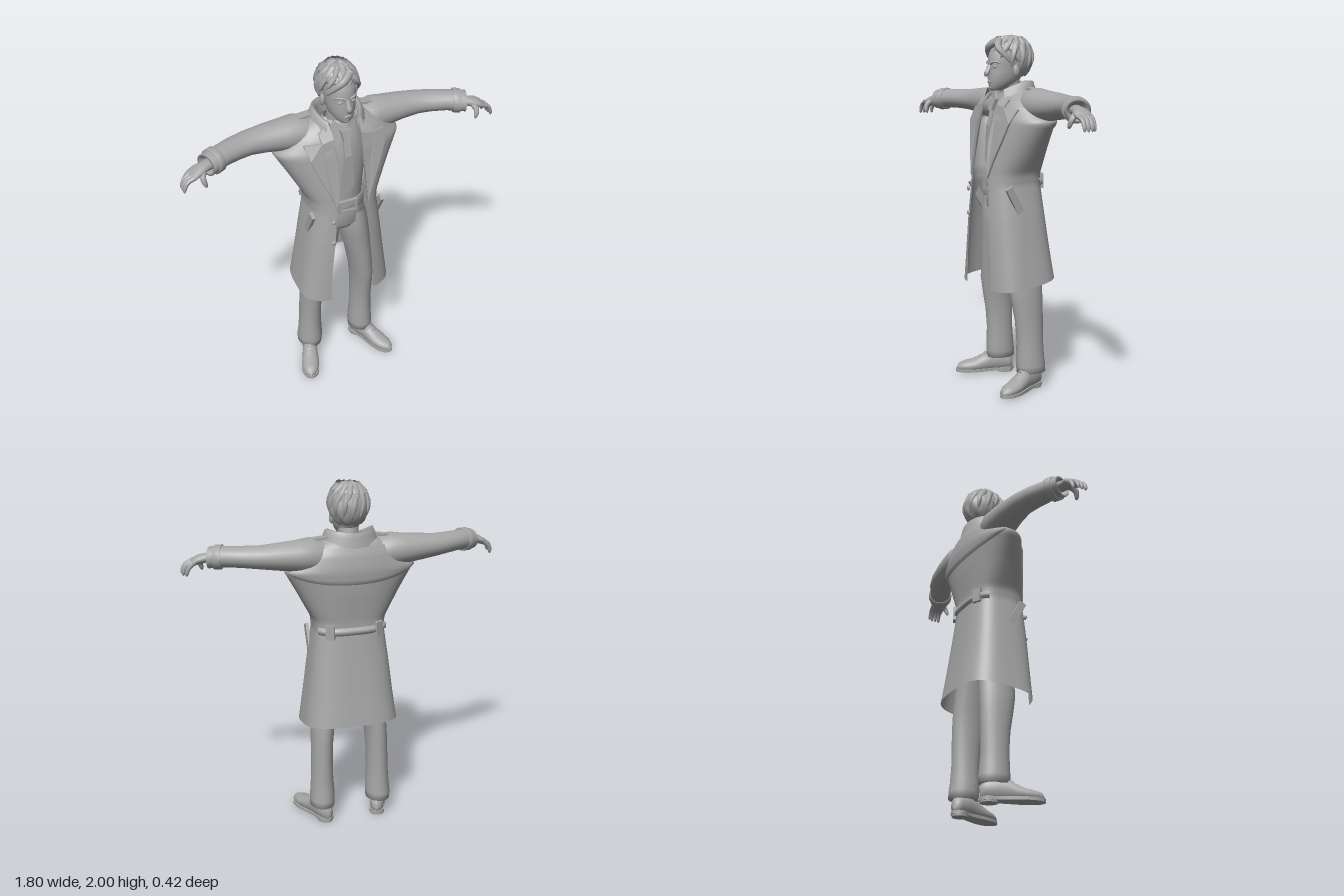
import * as THREE from 'three';

const V = (x, y, z) => new THREE.Vector3(x, y, z);
const clothGrey = new THREE.MeshStandardMaterial({ color: 0xa6a6a6, side: THREE.DoubleSide });

// Surface from a rule fn(u, v) -> [x, y, z], optionally closed around u
function grid(fn, nu, nv, closed = false) {
  const pos = [], idx = [], cols = closed ? nu : nu + 1;
  for (let j = 0; j <= nv; j++) for (let i = 0; i < cols; i++) pos.push(...fn(i / nu, j / nv));
  for (let j = 0; j < nv; j++) for (let i = 0; i < nu; i++) {
    const a = j * cols + i, b = j * cols + (i + 1) % cols;
    idx.push(a, a + cols, b, b, a + cols, b + cols);
  }
  const g = new THREE.BufferGeometry();
  g.setAttribute('position', new THREE.Float32BufferAttribute(pos, 3));
  g.setIndex(idx);
  g.computeVertexNormals();
  return g;
}

// Elliptical rings along an axis; rows are [x, y, z, radiusA, radiusB, slant]
function loft(axis, rows) {
  return grid((u, v) => {
    const [x, y, z, a, b, k = 0] = rows[Math.round(v * (rows.length - 1))];
    const c = Math.cos(u * Math.PI * 2), s = Math.sin(u * Math.PI * 2);
    if (axis === 'y') return [x + a * c, y, z + b * s];
    if (axis === 'x') return [x - k * b * c, y + a * s, z + b * c];
    return [x + a * c, y + b * s, z];
  }, 24, rows.length - 1, true);
}

// Rounded tapering tube through points
function taper(points, r0, r1, n = 10) {
  const curve = new THREE.CatmullRomCurve3(points.map(p => V(...p)));
  const g = new THREE.TubeGeometry(curve, n, 1, 8), p = g.attributes.position, q = V();
  for (let i = 0; i < p.count; i++) {
    const t = Math.floor(i / 9) / n, c = curve.getPointAt(t);
    const r = (r0 + (r1 - r0) * t) * Math.sqrt(Math.max(0, 1 - t ** 8));
    q.fromBufferAttribute(p, i).sub(c).multiplyScalar(r).add(c);
    p.setXYZ(i, q.x, q.y, q.z);
  }
  g.computeVertexNormals();
  return g;
}

// Flat plate from an outline, laid on a front surface z = zFn(x, y)
function plate(outline, depth, zFn) {
  const shape = new THREE.Shape(outline.map(p => new THREE.Vector2(...p)));
  const g = new THREE.ExtrudeGeometry(shape, { depth, bevelEnabled: false }), p = g.attributes.position;
  for (let i = 0; i < p.count; i++) p.setZ(i, p.getZ(i) + zFn(p.getX(i), p.getY(i)));
  g.computeVertexNormals();
  return g;
}

function ball(x, y, z, rx, ry, rz) {
  return new THREE.SphereGeometry(1, 16, 12).scale(rx, ry, rz).translate(x, y, z);
}

// Coat rows: y, front edge x, half width, front z, middle z, back z, roundness
const COAT = [
  [0.617, 0.135, 0.275, 0.2, 0.02, -0.215, 0.62], [0.8, 0.125, 0.25, 0.2, 0.01, -0.19, 0.65],
  [1.0, 0.105, 0.225, 0.198, 0, -0.165, 0.68], [1.18, 0.09, 0.2, 0.187, 0, -0.145, 0.7],
  [1.24, 0.09, 0.207, 0.182, 0, -0.145, 0.72], [1.4, 0.09, 0.295, 0.165, -0.02, -0.165, 0.9],
  [1.53, 0.09, 0.37, 0.145, -0.04, -0.175, 1], [1.56, 0.09, 0.33, 0.138, -0.04, -0.172, 0.95],
  [1.62, 0.09, 0.265, 0.11, -0.04, -0.16, 0.85], [1.67, 0.09, 0.2, 0.07, -0.04, -0.14, 0.8],
  [1.705, 0.08, 0.12, 0.04, -0.04, -0.11, 0.8],
];
function coatRow(y) {
  let i = 0;
  while (i < COAT.length - 2 && y > COAT[i + 1][0]) i++;
  const t = THREE.MathUtils.clamp((y - COAT[i][0]) / (COAT[i + 1][0] - COAT[i][0]), 0, 1);
  return COAT[i].map((v, k) => v + (COAT[i + 1][k] - v) * t);
}
// s runs from one front edge (-1) round the back (0) to the other (1)
function coatAt(s, y, off = 0) {
  const [, xi, w, zf, zm, zb, p] = coatRow(y);
  const a = -Math.PI / 2 + Math.abs(s) * (Math.PI / 2 + Math.acos((xi / w) ** (1 / p)));
  const c = Math.max(0, Math.cos(a)), n = Math.sin(a);
  const z = zm + (n > 0 ? zf - zm + off : -(zm - zb + off)) * Math.abs(n) ** p;
  const tilt = THREE.MathUtils.clamp((1.2 - y) / 0.58, 0, 1) * -0.13 * z;
  return [Math.sign(s) * (w + off) * c ** p, y + tilt, z];
}
function coatFront(x, y) {
  const [, , w, zf, zm, , p] = coatRow(y);
  return zm + (zf - zm) * Math.max(0, 1 - Math.min(1, Math.abs(x) / w) ** (2 / p)) ** (p / 2);
}

export function createModel() {
  const model = new THREE.Group();
  const add = (name, g) => {
    const m = new THREE.Mesh(g, clothGrey);
    m.name = name;
    model.add(m);
  };
  const pair = (name, g) => {
    add(name + 'Left', g);
    const r = g.clone().scale(-1, 1, 1);
    r.computeVertexNormals();
    add(name + 'Right', r);
  };

  // Long open coat with back yoke, half belt and pockets
  add('coat', grid((u, v) => coatAt(u * 2 - 1, 0.617 + v * 1.088), 72, 64));
  add('backYoke', grid((u, v) => {
    const s = u * 2 - 1, low = 1.46 + 0.08 * s * s;
    return coatAt(s * 0.52, low + (1.66 - low) * v, v === 0 ? 0 : 0.008);
  }, 32, 14));
  add('halfBelt', grid((u, v) => coatAt((u * 2 - 1) * 0.4, 1.165 + 0.045 * v, v === 0 || v === 1 ? 0 : 0.014), 24, 4));
  pair('beltTab', new THREE.BoxGeometry(0.05, 0.08, 0.02).rotateY(-0.5).translate(0.14, 1.19, -0.135));
  pair('pocket', new THREE.BoxGeometry(0.018, 0.17, 0.042).rotateX(0.49).translate(0.21, 1.095, 0.08));
  for (const y of [1.0, 1.14]) add('coatButton', ball(-0.115, y, 0.193, 0.014, 0.014, 0.008));

  // Lapels and turned-up collar
  pair('lapel', plate([[0.085, 1.69], [0.15, 1.645], [0.145, 1.605], [0.235, 1.595], [0.215, 1.52], [0.175, 1.42],
    [0.13, 1.32], [0.092, 1.22], [0.078, 1.32], [0.076, 1.42], [0.076, 1.52], [0.08, 1.62]], 0.012,
  (x, y) => coatFront(x, y) + 0.003));
  const collar = [[0.095, 0.08, 1.66], [0.108, 0.09, 1.71], [0.122, 0.1, 1.735], [0.133, 0.108, 1.735],
    [0.145, 0.115, 1.705], [0.165, 0.125, 1.655]];
  add('collar', grid((u, v) => {
    const [rx, rz, y] = collar[Math.round(v * 5)];
    const a = -Math.PI / 2 + (u * 2 - 1) * 2.35, f = Math.max(0, Math.sin(a));
    return [rx * Math.cos(a), y + 0.012 * Math.abs(Math.cos(a)) - 0.06 * f, -0.03 + rz * Math.sin(a) + 0.05 * f];
  }, 40, 5));

  // Shirt, tie and waist belt
  add('shirt', loft('y', [[0, 1.15, 0, 0.13, 0.11], [0, 1.3, 0, 0.14, 0.115], [0, 1.45, -0.01, 0.16, 0.125],
    [0, 1.56, -0.02, 0.15, 0.118], [0, 1.62, -0.02, 0.12, 0.1], [0, 1.68, -0.02, 0.07, 0.07]]));
  const chest = (x, y) => 0.118 - Math.max(0, y - 1.5) * 0.28;
  add('tie', plate([[-0.018, 1.61], [-0.02, 1.5], [-0.03, 1.4], [-0.038, 1.31], [0, 1.255], [0.038, 1.31],
    [0.03, 1.4], [0.02, 1.5], [0.018, 1.61]], 0.012, chest));
  add('tieKnot', plate([[-0.03, 1.645], [-0.018, 1.585], [0.018, 1.585], [0.03, 1.645]], 0.025, chest));
  pair('shirtCollar', plate([[0.005, 1.645], [0.05, 1.69], [0.075, 1.66], [0.06, 1.57]], 0.012,
    (x, y) => chest(x, y) - 0.01 - x * 0.2));
  add('waistBelt', loft('y', [[0, 1.145, 0, 0.138, 0.115], [0, 1.145, 0, 0.148, 0.126], [0, 1.205, 0, 0.148, 0.126],
    [0, 1.205, 0, 0.138, 0.115]]));
  const buckle = new THREE.Shape([[-0.055, 1.137], [0.055, 1.137], [0.055, 1.213], [-0.055, 1.213]].map(p => new THREE.Vector2(...p)));
  buckle.holes.push(new THREE.Path([[-0.04, 1.152], [-0.04, 1.198], [0.04, 1.198], [0.04, 1.152]].map(p => new THREE.Vector2(...p))));
  add('beltBuckle', new THREE.ExtrudeGeometry(buckle, { depth: 0.02, bevelEnabled: false }).translate(0, 0, 0.116));

  // Trousers
  add('hips', loft('y', [[0, 1.2, 0, 0.135, 0.113], [0, 1.12, 0, 0.15, 0.12], [0, 1.04, 0, 0.155, 0.115],
    [0, 1.0, 0, 0.12, 0.09], [0, 0.98, 0, 0, 0]]));
  pair('trouserLeg', loft('y', [[0.08, 1.1, 0, 0.07, 0.11], [0.085, 1.02, 0, 0.083, 0.115], [0.098, 0.92, 0, 0.085, 0.11],
    [0.13, 0.77, -0.01, 0.074, 0.106], [0.157, 0.6, -0.018, 0.066, 0.105], [0.165, 0.5, -0.028, 0.063, 0.096],
    [0.168, 0.4, -0.037, 0.062, 0.086], [0.17, 0.28, -0.042, 0.064, 0.08], [0.17, 0.19, -0.044, 0.07, 0.084],
    [0.172, 0.14, -0.047, 0.073, 0.087], [0.173, 0.1, -0.049, 0.071, 0.087], [0.173, 0.1, -0.049, 0.05, 0.06]]));

  // Shoes turned outward
  const place = g => g.rotateY(0.38).translate(0.197, 0, 0.01);
  const outline = new THREE.Shape();
  outline.setFromPoints(new THREE.SplineCurve([[0, 0.145], [0.042, 0.115], [0.04, 0.03], [0.055, -0.1], [0.04, -0.175],
    [0, -0.205], [-0.04, -0.175], [-0.05, -0.1], [-0.036, 0.03], [-0.042, 0.115], [0, 0.145]].map(p => new THREE.Vector2(...p))).getPoints(40));
  pair('sole', place(new THREE.ExtrudeGeometry(outline, { depth: 0.018, bevelEnabled: false }).rotateX(-Math.PI / 2)
    .scale(1, 1, 1).translate(0, 0.01, 0)));
  pair('heel', place(new THREE.CylinderGeometry(0.044, 0.042, 0.03, 20).scale(1, 1, 1.15).translate(0, 0.015, -0.09)));
  pair('shoe', place(loft('z', [[0, 0.04, -0.14, 0, 0], [0, 0.055, -0.135, 0.025, 0.04], [0, 0.065, -0.11, 0.042, 0.055],
    [0, 0.07, -0.05, 0.044, 0.065], [0, 0.068, 0, 0.044, 0.064], [0, 0.055, 0.05, 0.048, 0.05],
    [0, 0.045, 0.1, 0.052, 0.037], [0, 0.041, 0.15, 0.046, 0.031], [0, 0.037, 0.185, 0.03, 0.024], [0, 0.032, 0.202, 0, 0]])));
  for (const z of [0.025, 0.055]) pair('lace', place(taper([[-0.035, 0.105 - z * 0.5, z], [0, 0.135 - z * 0.68, z + 0.005],
    [0.035, 0.105 - z * 0.5, z]], 0.007, 0.007)));

  // Sleeves with cuff straps and shoulder tabs
  pair('sleeve', loft('x', [[0.1, 1.6, -0.04, 0.07, 0.08], [0.17, 1.605, -0.045, 0.09, 0.095], [0.23, 1.615, -0.052, 0.095, 0.1],
    [0.3, 1.615, -0.055, 0.085, 0.095], [0.4, 1.618, -0.055, 0.074, 0.083], [0.5, 1.62, -0.045, 0.063, 0.073, 0.15],
    [0.58, 1.622, -0.02, 0.058, 0.068, 0.35], [0.66, 1.622, 0.012, 0.056, 0.06, 0.42], [0.755, 1.615, 0.055, 0.058, 0.06, 0.42],
    [0.755, 1.615, 0.055, 0.046, 0.048, 0.42], [0.72, 1.615, 0.04, 0.03, 0.03, 0.42]]));
  pair('cuffStrap', loft('x', [[0.69, 1.62, 0.026, 0.055, 0.058, 0.42], [0.69, 1.62, 0.026, 0.066, 0.068, 0.42],
    [0.725, 1.617, 0.042, 0.066, 0.068, 0.42], [0.725, 1.617, 0.042, 0.055, 0.058, 0.42]]));
  pair('shoulderTab', new THREE.BoxGeometry(0.11, 0.012, 0.055).rotateZ(-0.1).translate(0.175, 1.702, -0.05));

  // Hands
  pair('palm', loft('x', [[0.72, 1.615, 0.04, 0.028, 0.034, 0.4], [0.77, 1.613, 0.06, 0.026, 0.032, 0.4],
    [0.81, 1.605, 0.07, 0.026, 0.044, 0.25], [0.845, 1.59, 0.074, 0.021, 0.046, 0.1], [0.862, 1.578, 0.075, 0, 0]]));
  for (let i = 0; i < 4; i++) {
    const z = 0.04 + i * 0.023, e = i === 0 ? -0.015 : 0;
    pair('finger', taper([[0.835, 1.595, z], [0.872 + e, 1.578, z], [0.89 + e, 1.55, z + 0.002], [0.896 + e, 1.52, z + 0.002]], 0.014, 0.01));
  }
  pair('thumb', taper([[0.785, 1.605, 0.085], [0.795, 1.58, 0.115], [0.788, 1.55, 0.125], [0.782, 1.53, 0.125]], 0.019, 0.011));

  // Head and face
  add('neck', loft('y', [[0, 1.6, -0.03, 0.065, 0.065], [0, 1.7, -0.015, 0.056, 0.06], [0, 1.78, 0, 0.058, 0.06]]));
  add('head', loft('y', [[0, 1.69, 0.075, 0, 0], [0, 1.692, 0.075, 0.025, 0.03], [0, 1.705, 0.058, 0.042, 0.058],
    [0, 1.73, 0.035, 0.062, 0.086], [0, 1.76, 0.025, 0.074, 0.098], [0, 1.8, 0.015, 0.081, 0.107], [0, 1.825, 0.008, 0.083, 0.11],
    [0, 1.845, 0.008, 0.086, 0.115], [0, 1.89, 0, 0.088, 0.114], [0, 1.94, -0.01, 0.08, 0.1], [0, 1.975, -0.01, 0.04, 0.05], [0, 1.98, -0.01, 0, 0]]));
  add('nose', taper([[0, 1.835, 0.112], [0, 1.805, 0.127], [0, 1.78, 0.138], [0, 1.77, 0.132]], 0.009, 0.019));
  add('lips', ball(0, 1.739, 0.119, 0.022, 0.007, 0.008));
  add('chin', ball(0, 1.708, 0.098, 0.024, 0.016, 0.02));
  pair('eye', ball(0.035, 1.82, 0.107, 0.017, 0.008, 0.008));
  pair('brow', taper([[0.012, 1.838, 0.12], [0.04, 1.848, 0.112], [0.068, 1.84, 0.082]], 0.008, 0.004));
  pair('ear', ball(0.091, 1.8, 0, 0.013, 0.034, 0.02));

  // Hair cap tucked under the hairline, plus layered locks
  const hair = new THREE.SphereGeometry(1, 48, 32), hp = hair.attributes.position;
  const onScalp = (x, y, z, k = 1) => [x * 0.11 * k, 1.867 + y * 0.126 * k, -0.018 + z * 0.125 * k];
  for (let i = 0; i < hp.count; i++) {
    const x = hp.getX(i), y = hp.getY(i), z = hp.getZ(i), wave = 1 + 0.025 * Math.sin(9 * Math.atan2(x, z) + 5 * y);
    const line = 1.765 + 0.15 * THREE.MathUtils.smoothstep(z, -0.2, 0.6);
    hp.setXYZ(i, ...onScalp(x, y, z, 1.867 + y * 0.126 < line ? 0.7 : wave));
  }
  hair.computeVertexNormals();
  add('hair', hair);
  for (let i = 0; i < 26; i++) {
    const layer = i % 2, a = Math.PI * (0.02 + 1.96 * (i + 0.5) / 26) + Math.PI / 2;
    const front = Math.max(0, Math.sin(a)), start = layer ? 0.45 : 0.9, end = (layer ? 1.45 : 2.15) - front * (layer ? 0.3 : 0.9);
    const pts = [0, 0.5, 1].map(t => {
      const f = start + (end - start) * t, b = a + 0.3 * t;
      return onScalp(Math.sin(f) * Math.cos(b), Math.cos(f), Math.sin(f) * Math.sin(b), 0.94 + 0.05 * t);
    });
    add('hairLock', taper(pts, 0.022, 0.007));
  }
  add('fringe', taper([[0.03, 1.965, 0.075], [-0.02, 1.935, 0.108], [-0.065, 1.895, 0.09], [-0.093, 1.845, 0.05]], 0.026, 0.009, 14));
  add('fringe', taper([[0.025, 1.965, 0.075], [0.055, 1.925, 0.092], [0.085, 1.88, 0.065], [0.096, 1.84, 0.035]], 0.024, 0.008, 14));
  return model;
}
